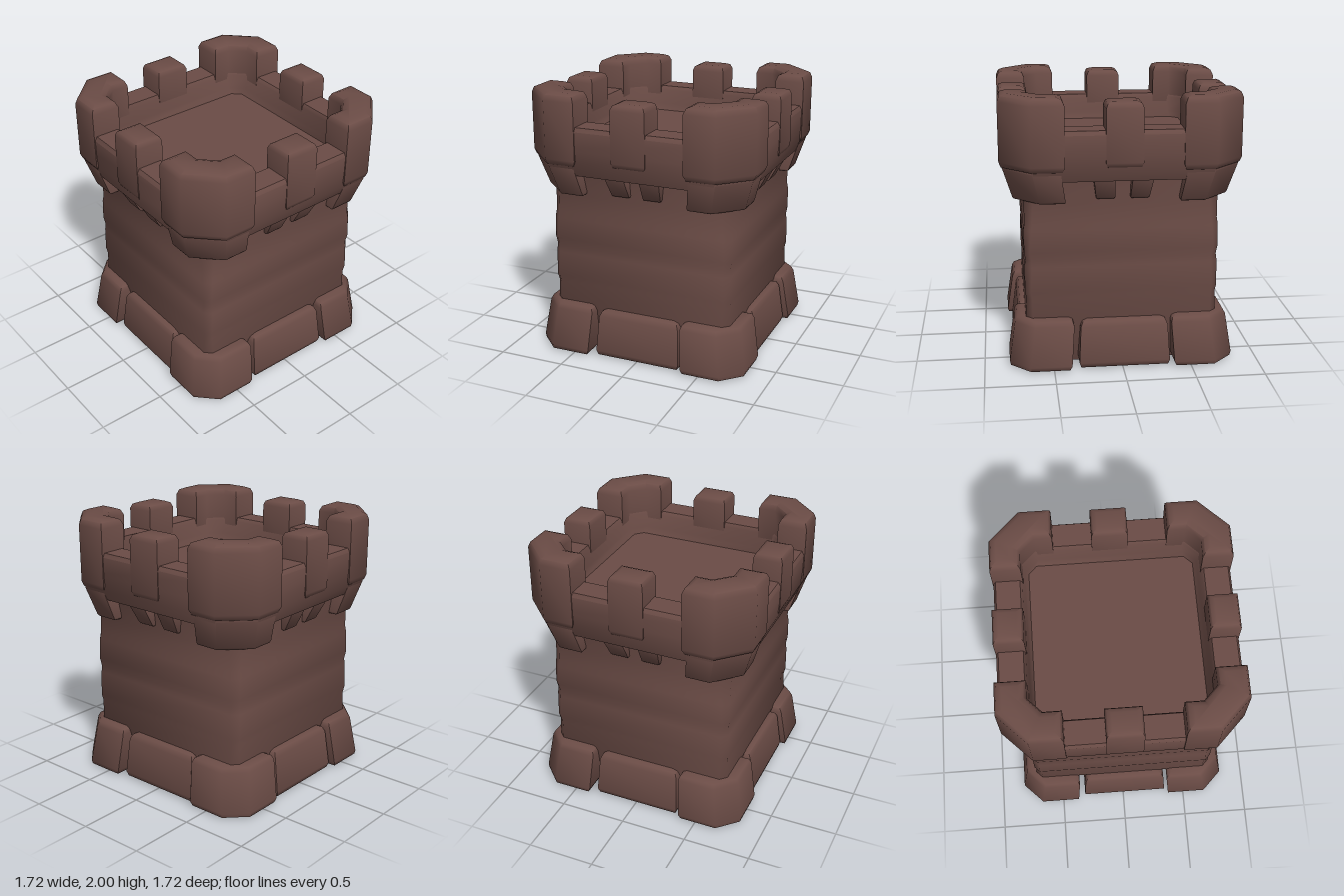
import * as THREE from 'three';
import { toCreasedNormals } from 'three/addons/utils/BufferGeometryUtils.js';

const stone = new THREE.MeshStandardMaterial({ color: 0x6b4c46 });
stone.name = 'brownStone';

function addMesh(parent, name, geometry) {
  const mesh = new THREE.Mesh(toCreasedNormals(geometry, 0.9), stone);
  mesh.name = name;
  parent.add(mesh);
}

// Capped loft through square rings with cut corners: [y, half width, corner cut]
function loft(rings) {
  const pos = [], index = [];
  const up = new THREE.Vector3(0, 1, 0);
  for (const [y, h, c] of rings) {
    for (let k = 0; k < 4; k++) {
      for (const t of [h - c, c - h]) {
        const p = new THREE.Vector3(h, y, t).applyAxisAngle(up, k * Math.PI / 2);
        pos.push(p.x, p.y, p.z);
      }
    }
  }
  for (let r = 0; r < rings.length - 1; r++) {
    for (let i = 0; i < 8; i++) {
      const a = r * 8 + i, b = r * 8 + (i + 1) % 8;
      index.push(a, b, b + 8, a, b + 8, a + 8);
    }
  }
  const last = (rings.length - 1) * 8;
  for (let i = 1; i < 7; i++) {
    index.push(0, i + 1, i, last, last + i, last + i + 1);
  }
  const g = new THREE.BufferGeometry();
  g.setAttribute('position', new THREE.Float32BufferAttribute(pos, 3));
  g.setIndex(index);
  return g;
}

// Upright bevelled block from a plan outline, tapering from scale s0 to s1
function block(outline, y0, y1, bevel, s0 = 1, s1 = 1) {
  const shape = new THREE.Shape(outline.map(([x, y]) => new THREE.Vector2(x, y)));
  const g = new THREE.ExtrudeGeometry(shape, {
    depth: y1 - y0 - 2 * bevel, bevelEnabled: true, bevelThickness: bevel,
    bevelSize: bevel, bevelOffset: -bevel, bevelSegments: 2,
  });
  g.rotateX(-Math.PI / 2);
  g.translate(0, y0 + bevel, 0);
  const p = g.attributes.position;
  for (let i = 0; i < p.count; i++) {
    const s = THREE.MathUtils.lerp(s0, s1, (p.getY(i) - y0) / (y1 - y0));
    p.setX(i, p.getX(i) * s);
    p.setZ(i, p.getZ(i) * s);
  }
  return g;
}

// L-shaped corner plan with cut corners, arms ending at a
const cornerPlan = (a, inner, outer, cut) => [
  [a, inner], [inner - 0.1, inner], [inner, inner - 0.1], [inner, a],
  [outer, a], [outer, outer - cut], [outer - cut, outer], [a, outer],
].reverse();

// Straight plan on one side, between x0 and x1
const sidePlan = (x0, x1, inner, outer) => [[x0, inner], [x1, inner], [x1, outer], [x0, outer]];

export function createModel() {
  const tower = new THREE.Group();
  tower.name = 'castleTower';

  // Shaft with faint stone courses
  addMesh(tower, 'shaft', loft([
    [0, 0.6, 0.06], [0.36, 0.695, 0.05], [0.52, 0.687, 0.04], [0.57, 0.696, 0.04],
    [0.76, 0.696, 0.05], [0.81, 0.688, 0.04], [0.87, 0.697, 0.04], [1.03, 0.697, 0.05],
    [1.08, 0.69, 0.05], [1.22, 0.692, 0.06], [1.45, 0.71, 0.1],
  ]));

  // Parapet: flared outside, walkway wall, sunken floor
  addMesh(tower, 'parapet', loft([
    [1.4, 0.69, 0.12], [1.41, 0.81, 0.19], [1.49, 0.84, 0.21], [1.6, 0.85, 0.215],
    [1.74, 0.852, 0.215], [1.77, 0.835, 0.21], [1.77, 0.66, 0.13], [1.74, 0.645, 0.12],
    [1.63, 0.63, 0.1], [1.58, 0.605, 0.06],
  ]));

  // Four matching sides
  for (let k = 0; k < 4; k++) {
    const side = new THREE.Group();
    side.name = 'towerSide' + (k + 1);
    side.rotation.y = k * Math.PI / 2;
    tower.add(side);

    // Footing stones
    addMesh(side, 'cornerFooting', block(cornerPlan(0.375, 0.56, 0.825, 0.15), 0, 0.38, 0.045, 1, 0.93));
    addMesh(side, 'middleFooting', block(sidePlan(-0.345, 0.32, 0.55, 0.79), 0, 0.365, 0.05, 1, 0.94));

    // Corbels under the parapet
    addMesh(side, 'cornerCorbel', block(cornerPlan(0.44, 0.62, 0.838, 0.2), 1.24, 1.49, 0.02, 0.91, 1));
    for (const x of [-0.135, 0.135]) {
      addMesh(side, 'corbel', block(sidePlan(x - 0.075, x + 0.075, 0.6, 0.81), 1.26, 1.43, 0.015, 0.89, 1));
    }

    // Merlons, rooted inside the parapet wall
    addMesh(side, 'cornerMerlon', block(cornerPlan(0.41, 0.64, 0.858, 0.215), 1.47, 2, 0.055));
    addMesh(side, 'middleMerlon', block(sidePlan(-0.13, 0.13, 0.64, 0.855), 1.5, 1.965, 0.045));
  }
  return tower;
}
